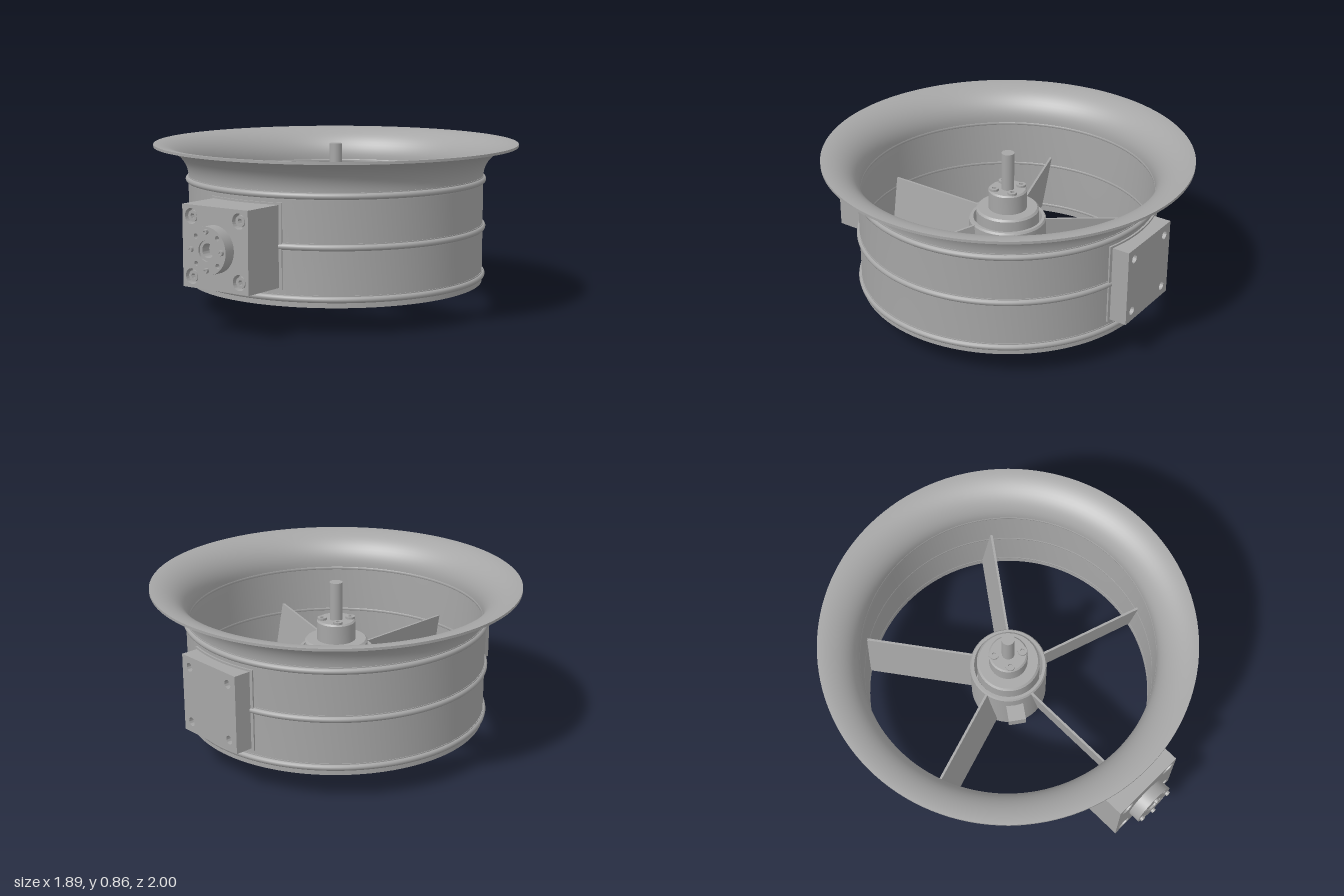
import * as THREE from 'three';
import { toCreasedNormals } from 'three/addons/utils/BufferGeometryUtils.js';

const metal = new THREE.MeshStandardMaterial({ color: 0xa6a6a6 });
metal.name = 'grey metal';

const AXIS_Z = -0.055, MID_Y = 0.43;

function add(parent, name, geometry) {
  const mesh = new THREE.Mesh(geometry, metal);
  mesh.name = name;
  parent.add(mesh);
  return mesh;
}

function lathe(points, segments = 96) {
  const g = new THREE.LatheGeometry(points.map(([r, y]) => new THREE.Vector2(r, y)), segments);
  return toCreasedNormals(g, 0.5);
}

// upright cylinder between two heights
function post(parent, name, r, y0, y1, x = 0, z = 0) {
  const mesh = add(parent, name, new THREE.CylinderGeometry(r, r, y1 - y0, 32));
  mesh.position.set(x, (y0 + y1) / 2, z);
  return mesh;
}

function circle(x, y, r) {
  const p = new THREE.Path();
  p.absarc(x, y, r, 0, Math.PI * 2, true);
  return p;
}

// plate facing +z, with round holes
function plate(shape, holes, z0, z1) {
  holes.forEach(([x, y, r]) => shape.holes.push(circle(x, y, r)));
  const g = new THREE.ExtrudeGeometry(shape, { depth: z1 - z0, bevelEnabled: false, curveSegments: 32 });
  return toCreasedNormals(g.translate(0, 0, z0), 0.5);
}

function square(h) {
  return new THREE.Shape([[-h, -h], [h, -h], [h, h], [-h, h]].map(([x, y]) => new THREE.Vector2(x, y)));
}

// extrude a plan shape (x, z) vertically, centred on y = 0
function plan(shape, height) {
  const g = new THREE.ExtrudeGeometry(shape, { depth: height, bevelEnabled: false, curveSegments: 24 });
  return toCreasedNormals(g.rotateX(Math.PI / 2).translate(0, height / 2, 0), 0.5);
}

// mounting pad: curved base, solid body and a drilled face
function pad(parent, name, face, drill, holeRadius) {
  const group = new THREE.Group();
  group.name = name;
  group.position.y = MID_Y;
  parent.add(group);
  const up = Math.PI / 2, a = Math.asin(0.2 / 0.76), b = a + 0.014;
  const body = new THREE.Shape();
  body.moveTo(0.2, face - drill);
  body.lineTo(-0.2, face - drill);
  body.absarc(0, 0, 0.76, up + a, up - a, true);
  add(group, 'padBody', plan(body, 0.4));
  const base = new THREE.Shape();
  base.absarc(0, 0, 0.776, up - b, up + b, false);
  base.absarc(0, 0, 0.76, up + b, up - b, true);
  add(group, 'padBase', plan(base, 0.42));
  const holes = [];
  for (const x of [-0.145, 0.145]) for (const y of [-0.145, 0.145]) holes.push([x, y, holeRadius]);
  add(group, 'padFace', plate(square(0.2), holes, face - drill, face));
  return { group, holes };
}

// socket-head screw facing +z
function screw(parent, name, x, y, z, r, h) {
  const s = new THREE.Shape();
  s.absarc(0, 0, r, 0, Math.PI * 2, false);
  const hex = new THREE.Path();
  for (let i = 0; i <= 6; i++) {
    const t = -i * Math.PI / 3;
    hex[i ? 'lineTo' : 'moveTo'](Math.cos(t) * r * 0.5, Math.sin(t) * r * 0.5);
  }
  s.holes.push(hex);
  const head = add(parent, name, plate(s, [], 0, h));
  head.position.set(x, y, z);
  return head;
}

export function createModel() {
  const model = new THREE.Group();
  model.name = 'ductedFan';
  const fan = new THREE.Group();
  fan.name = 'fanAssembly';
  fan.position.z = AXIS_Z;
  model.add(fan);

  // duct wall with flared intake lip
  const profile = [[0.752, 0.14], [0.767, 0.14]];
  const N = 14;
  for (let i = 0; i <= N; i++) {
    const t = (i / N) * Math.PI / 2;
    profile.push([0.937 - 0.17 * Math.cos(t), 0.69 + 0.155 * Math.sin(t)]);
  }
  profile.push([0.945, 0.845], [0.945, 0.858]);
  for (let i = N; i >= 0; i--) {
    const t = (i / N) * Math.PI / 2;
    profile.push([0.942 - 0.19 * Math.cos(t), 0.69 + 0.168 * Math.sin(t)]);
  }
  profile.push([0.752, 0.14]);
  add(fan, 'duct', lathe(profile, 128));

  // stiffening rings
  for (const y of [0.18, 0.43, 0.675]) {
    const ring = add(fan, 'stiffeningRing', new THREE.TorusGeometry(0.766, 0.016, 12, 128));
    ring.rotation.x = Math.PI / 2;
    ring.position.y = y;
    const band = add(fan, 'ringBand', lathe([[0.76, -0.02], [0.77, -0.02], [0.77, 0.02], [0.76, 0.02]]));
    band.position.y = y;
  }

  // rotor hub cup, motor can and boss
  add(fan, 'hub', lathe([[0, 0.14], [0.2, 0.14], [0.2, 0.48], [0.193, 0.49],
    [0.178, 0.49], [0.175, 0.48], [0.175, 0.22], [0, 0.22]], 64));
  add(fan, 'motorCan', lathe([[0.163, 0.21], [0.163, 0.535], [0.153, 0.545], [0, 0.545]], 64));
  add(fan, 'motorBoss', lathe([[0.1, 0.54], [0.1, 0.642], [0.092, 0.65], [0, 0.65]], 48));
  post(fan, 'upperShaft', 0.033, 0.64, 0.85);
  post(fan, 'lowerShaft', 0.027, 0, 0.15);

  // boss screws and lower hub bolts
  for (let i = 0; i < 4; i++) {
    const t = 0.64 + i * Math.PI / 2;
    const top = screw(fan, 'bossScrew', Math.cos(t) * 0.073, 0.65, Math.sin(t) * 0.073, 0.024, 0.012);
    top.rotation.x = -Math.PI / 2;
    const u = 0.2 + i * Math.PI / 2, r = i % 2 ? 0.109 : 0.093;
    const low = screw(fan, 'hubBolt', Math.cos(u) * r, 0.14, Math.sin(u) * r, 0.03, 0.034);
    low.rotation.x = Math.PI / 2;
  }

  // five steeply pitched blades
  const blade = new THREE.BoxGeometry(0.012, 0.315, 0.565);
  const p = blade.attributes.position;
  for (let i = 0; i < p.count; i++) p.setX(i, p.getX(i) - p.getY(i) * 0.165);
  blade.computeVertexNormals();
  blade.translate(0, 0.328, 0.472);
  for (let i = 0; i < 5; i++) add(fan, 'blade', blade).rotation.y = (i * Math.PI * 2) / 5;

  // cable outlet beside the hub
  const outlet = add(fan, 'cableOutlet', new THREE.BoxGeometry(0.09, 0.06, 0.1).translate(0, 0.38, 0.233));
  outlet.rotation.y = -0.62;

  // front pad with recessed screws and round flange
  const front = pad(fan, 'frontPad', 0.98, 0.04, 0.038);
  for (const [x, y] of front.holes) screw(front.group, 'padScrew', x, y, 0.938, 0.027, 0.032);
  const disc = new THREE.Shape();
  disc.absarc(0, 0, 0.115, 0, Math.PI * 2, false);
  const d = 0.092, discHoles = [[0, 0, 0.05]];
  for (let i = 0; i < 4; i++) {
    const t = i * Math.PI / 2;
    discHoles.push([Math.cos(t + Math.PI / 4) * d, Math.sin(t + Math.PI / 4) * d, 0.012]);
    screw(front.group, 'flangeScrew', Math.cos(t) * d, Math.sin(t) * d, 1.035, 0.013, 0.02);
  }
  add(front.group, 'flange', plate(disc, discHoles, 0.975, 1.04));
  const bush = new THREE.Shape();
  bush.absarc(0, 0, 0.05, 0, Math.PI * 2, false);
  add(front.group, 'flangeBush', plate(bush, [[0, 0, 0.035]], 0.975, 1.03));

  // rear pad
  const rear = pad(fan, 'rearPad', 0.84, 0.025, 0.022);
  rear.group.rotation.y = Math.PI;

  return model;
}
